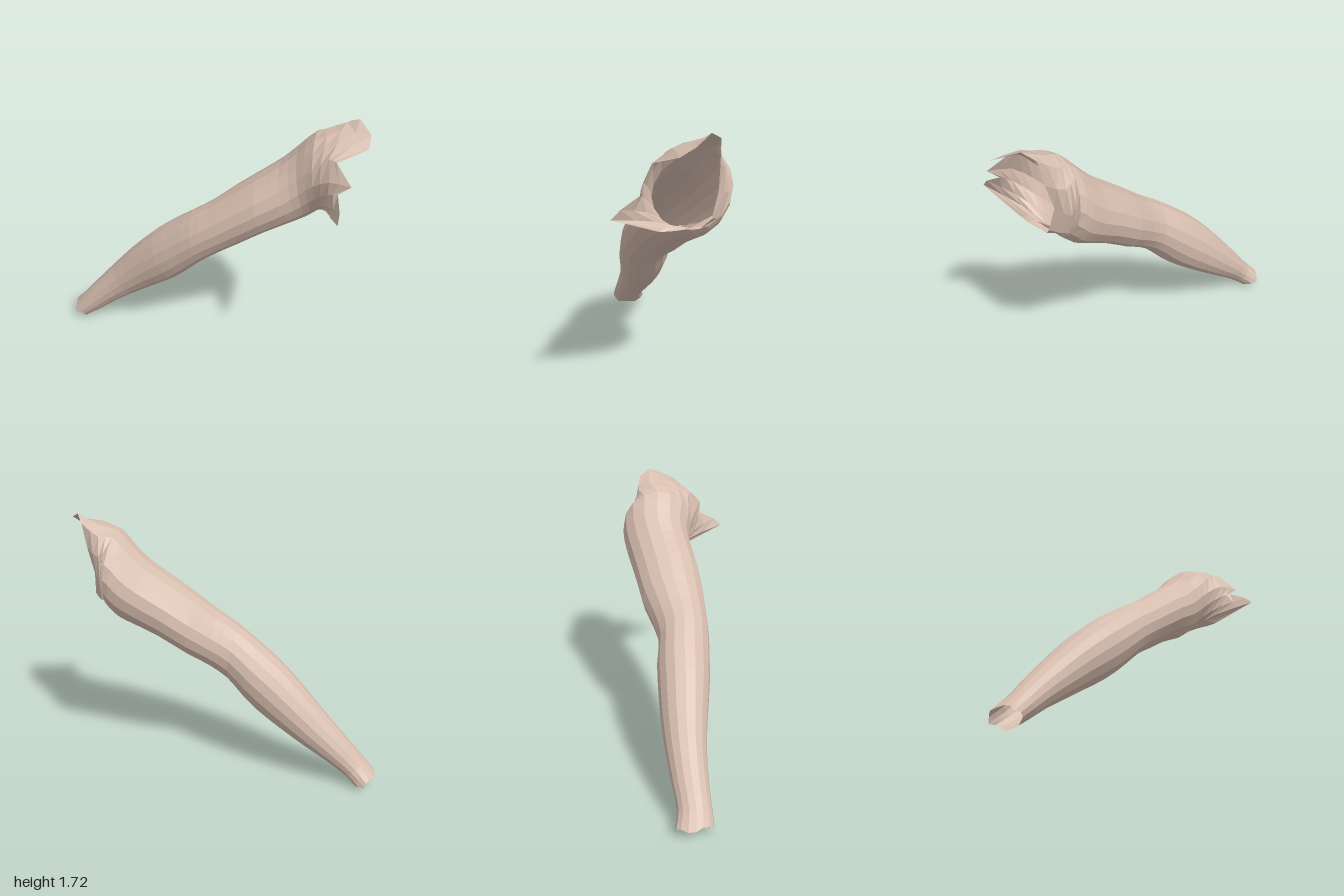
import * as THREE from 'three';

const COLUMNS = 16;
const STEPS = 2; // rows made between neighbouring sections

// Sections from wrist to shoulder: upper edge x, y, lower edge x, y, back z, front z
const SECTIONS = [
  [-0.99, 0.11, -0.87, 0.02, -0.24, 0.0],
  [-0.91, 0.2, -0.78, 0.09, -0.212, 0.0],
  [-0.8, 0.33, -0.66, 0.18, -0.228, 0.0],
  [-0.67, 0.48, -0.51, 0.28, -0.245, 0.01],
  [-0.52, 0.65, -0.36, 0.38, -0.255, 0.04],
  [-0.35, 0.82, -0.2, 0.49, -0.25, 0.08],
  [-0.2, 0.94, -0.1, 0.58, -0.24, 0.1],
  [-0.06, 1.04, 0.0, 0.68, -0.215, 0.115],
  [0.06, 1.12, 0.12, 0.77, -0.24, 0.12],
  [0.2, 1.23, 0.25, 0.85, -0.29, 0.12],
  [0.34, 1.335, 0.42, 0.96, -0.32, 0.115],
  [0.48, 1.44, 0.59, 1.05, -0.35, 0.09],
  [0.58, 1.54, 0.68, 1.1, -0.37, 0.08],
  [0.68, 1.64, 0.74, 1.16, -0.365, 0.11],
];

// Shoulder loops, running top, front, bottom, back
const SHOULDER = [
  [0.78, 1.68, -0.17], [0.82, 1.68, -0.08], [0.82, 1.65, 0.02], [0.79, 1.58, 0.1],
  [0.81, 1.47, 0.165], [0.81, 1.39, 0.165], [0.81, 1.31, 0.15], [0.8, 1.25, 0.1],
  [0.8, 1.22, 0.03], [0.79, 1.21, -0.04], [0.77, 1.19, -0.1], [0.76, 1.19, -0.18],
  [0.75, 1.24, -0.29], [0.74, 1.37, -0.33], [0.75, 1.52, -0.3], [0.76, 1.63, -0.25],
];
const TORN_RIM = [
  [0.92, 1.74, -0.16], [1.0, 1.69, -0.06], [1.0, 1.64, 0.03], [0.84, 1.58, 0.13],
  [0.94, 1.48, 0.21], [0.87, 1.42, 0.2], [0.9, 1.36, 0.31], [0.9, 1.31, 0.36],
  [0.83, 1.2, 0.08], [0.83, 1.2, 0.0], [0.82, 1.2, -0.06], [0.8, 1.19, -0.15],
  [0.82, 1.25, -0.21], [0.8, 1.4, -0.25], [0.84, 1.55, -0.24], [0.87, 1.7, -0.23],
];

// Oval through the four extremes of a section
function ovalPoint([tx, ty, bx, by, back, front], j) {
  const a = (j / COLUMNS) * Math.PI * 2;
  const c = Math.cos(a) / 2;
  const s = Math.sin(a) / 2;
  return new THREE.Vector3(
    (tx + bx) / 2 + (tx - bx) * c,
    (ty + by) / 2 + (ty - by) * c,
    (back + front) / 2 + (front - back) * s
  );
}

function armGeometry() {
  // One smooth curve runs along the arm for each column
  const columns = [];
  for (let j = 0; j < COLUMNS; j++) {
    const points = SECTIONS.map((s) => ovalPoint(s, j));
    // Uneven cut at the wrist
    const jag = j % 3 === 0 ? -0.01 : 0.012;
    points[0].x += jag * 0.7;
    points[0].y += jag * 0.7;
    points.push(new THREE.Vector3(...SHOULDER[j]), new THREE.Vector3(...TORN_RIM[j]));
    columns.push(new THREE.CatmullRomCurve3(points).getPoints((points.length - 1) * STEPS));
  }

  const rows = columns[0].length;
  const positions = [];
  const index = [];
  for (let i = 0; i < rows; i++) {
    for (let j = 0; j < COLUMNS; j++) {
      const p = columns[j][i];
      positions.push(p.x, Math.max(p.y, 0), p.z);
      if (i === rows - 1) continue;
      const k = (j + 1) % COLUMNS;
      const a = i * COLUMNS + j;
      const b = i * COLUMNS + k;
      index.push(a, b, a + COLUMNS, b, b + COLUMNS, a + COLUMNS);
    }
  }
  const indexed = new THREE.BufferGeometry();
  indexed.setAttribute('position', new THREE.Float32BufferAttribute(positions, 3));
  indexed.setIndex(index);
  // Separate faces give the faceted look
  const geometry = indexed.toNonIndexed();
  geometry.computeVertexNormals();
  return geometry;
}

export function createModel() {
  const skin = new THREE.MeshStandardMaterial({
    color: 0xd8bfb0,
    flatShading: true,
    side: THREE.DoubleSide,
  });
  skin.name = 'skin';

  const model = new THREE.Group();
  model.name = 'armModel';
  const arm = new THREE.Mesh(armGeometry(), skin);
  arm.name = 'arm';
  model.add(arm);
  return model;
}
